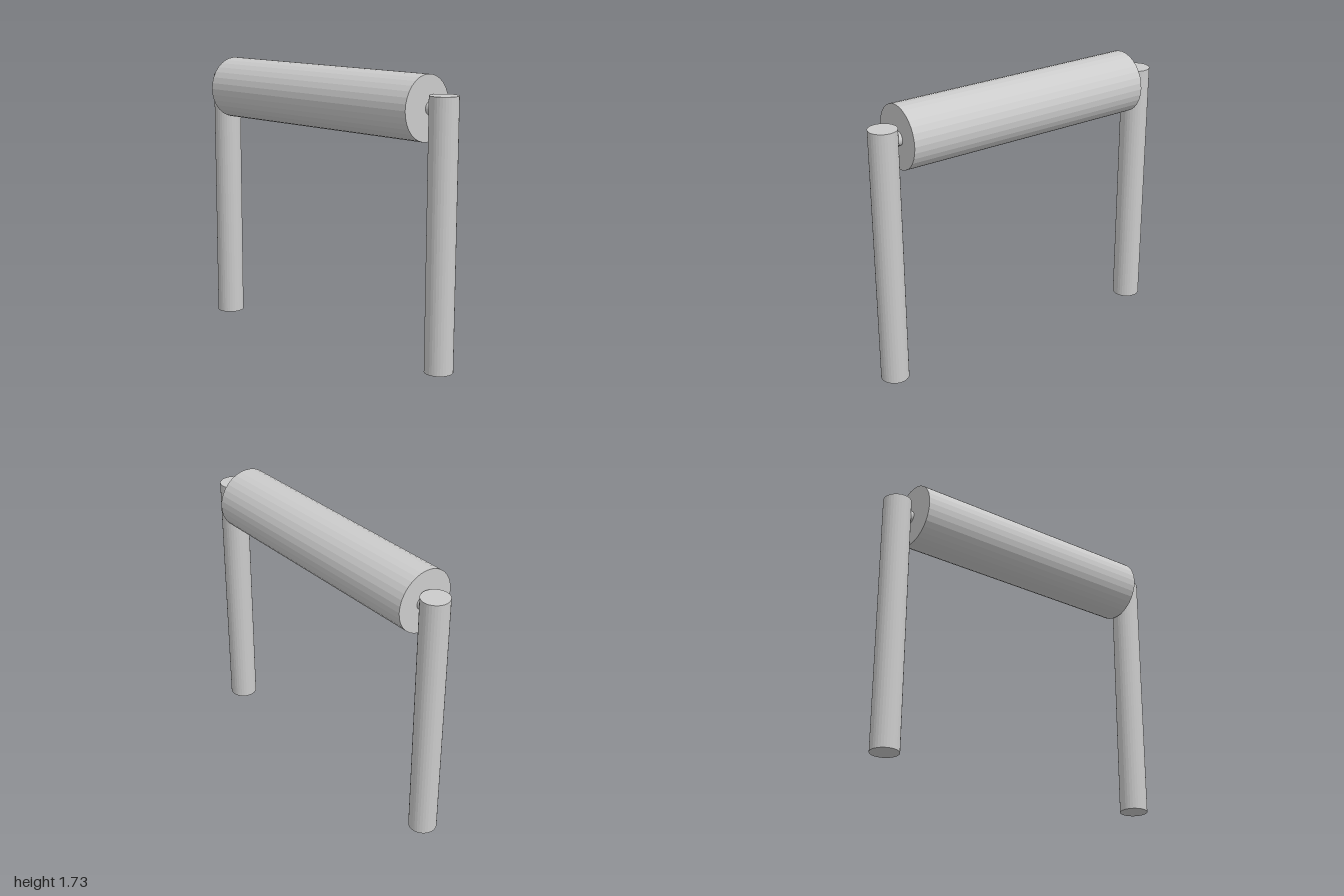
import * as THREE from 'three';

export function createModel() {
  const group = new THREE.Group();
  const material = new THREE.MeshStandardMaterial({ color: 0xcccccc, flatShading: true });

  const cylinder = (name, radius, length, x, y, z, alongX = false) => {
    const geometry = new THREE.CylinderGeometry(radius, radius, length, 32);
    if (alongX) geometry.rotateZ(Math.PI / 2);
    const mesh = new THREE.Mesh(geometry, material);
    mesh.name = name;
    mesh.position.set(x, y, z);
    group.add(mesh);
  };

  // Horizontal roller
  cylinder('roller', 0.193, 1.63, -0.002, 1.536, -0.002, true);

  // Upright posts, each with a short axle stub running into the roller
  for (const [side, s] of [['left', 1], ['right', -1]]) {
    cylinder(side + 'Post', 0.086, 1.614, s * 0.914, 0.807, -0.023);
    cylinder(side + 'Axle', 0.04, 0.15, s * 0.825, 1.535, -0.024, true);
  }

  return group;
}
